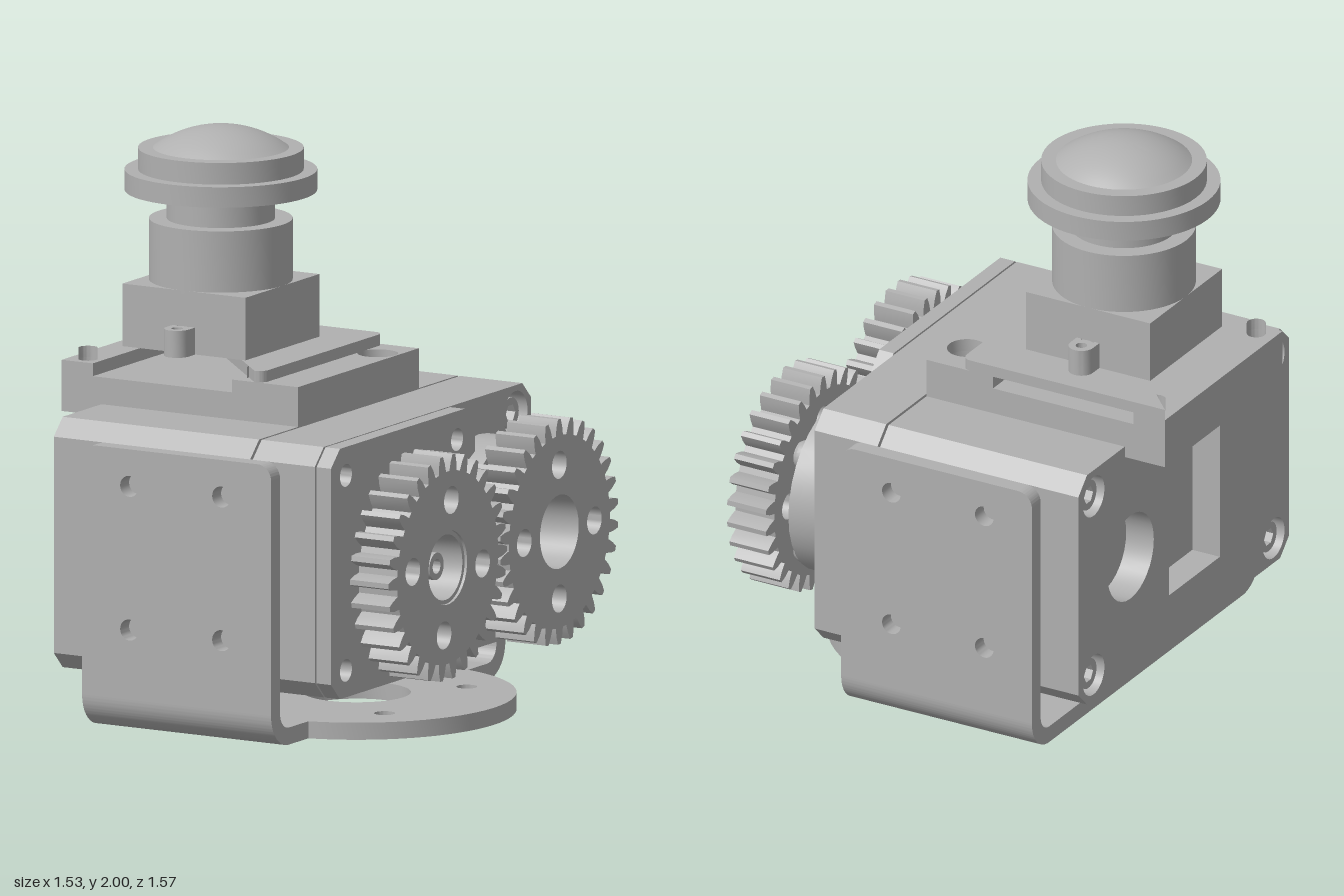
import * as THREE from 'three';
import { toCreasedNormals } from 'three/addons/utils/BufferGeometryUtils.js';

const grey = new THREE.MeshStandardMaterial({ color: 0xb0b0b0 });
grey.name = 'machinedGrey';

export function createModel() {
  const model = new THREE.Group();
  model.name = 'gearedCameraMount';

  const add = (name, geometry, parent = model) => {
    const mesh = new THREE.Mesh(toCreasedNormals(geometry, 0.5), grey);
    mesh.name = name;
    parent.add(mesh);
    return mesh;
  };
  const poly = (pts) => new THREE.Shape(pts.map(([a, b]) => new THREE.Vector2(a, b)));
  const rect = (x0, y0, x1, y1) => poly([[x0, y0], [x1, y0], [x1, y1], [x0, y1]]);
  const disc = (x, y, r) => new THREE.Shape().absarc(x, y, r, 0, Math.PI * 2);
  const cut = (shape, ...holes) => { shape.holes.push(...holes); return shape; };
  const extrude = (shape, depth) =>
    new THREE.ExtrudeGeometry(shape, { depth, bevelEnabled: false, curveSegments: 16 });
  // Extrusions along each axis: X uses (-z, y), Y uses (x, -z), Z uses (x, y)
  const alongX = (name, shape, x0, x1, parent) =>
    add(name, extrude(shape, x1 - x0).rotateY(Math.PI / 2).translate(x0, 0, 0), parent);
  const alongY = (name, shape, y0, y1) =>
    add(name, extrude(shape, y1 - y0).rotateX(-Math.PI / 2).translate(0, y0, 0));
  const alongZ = (name, shape, z0, z1) =>
    add(name, extrude(shape, z1 - z0).translate(0, 0, z0));
  const ring4 = (cx, cy, radius, r, turn) => [0, 1, 2, 3].map((i) => {
    const t = turn + i * Math.PI / 2;
    return disc(cx + radius * Math.cos(t), cy + radius * Math.sin(t), r);
  });

  // Gearbox housing, sliced along x with chamfered corners
  const housing = (inset = 0) => {
    const w = 0.725 - inset, b = 0.18 + inset, t = 1.06 - inset, c = 0.06;
    return poly([[-w + c, b], [w - c, b], [w, b + c], [w, t - c],
      [w - c, t], [-w + c, t], [-w, t - c], [-w, b + c]]);
  };
  const boltYs = [0.275, 0.96];
  const rearCover = cut(housing(), disc(0.365, 0.62, 0.16), rect(-0.25, 0.36, 0.1, 0.98));
  for (const a of [-0.62, 0.62]) for (const y of boltYs) rearCover.holes.push(disc(a, y, 0.075));
  alongX('rearCover', rearCover, -0.61, -0.5);
  alongX('housingCore', housing(), -0.5, 0.18);
  alongX('housingSeam', housing(0.015), 0.18, 0.19);
  alongX('housingMiddle', cut(housing(), ...boltYs.map((y) => disc(0.62, y, 0.08))), 0.19, 0.44);
  const facePlate = poly([[-0.665, 0.18], [0.17, 0.18], [0.24, 0.26], [0.24, 0.98],
    [0.17, 1.06], [-0.665, 1.06], [-0.725, 1.0], [-0.725, 0.24]]);
  for (const a of [-0.625, 0.12]) for (const y of boltYs) facePlate.holes.push(disc(a, y, 0.04));
  alongX('facePlate', facePlate, 0.447, 0.505);
  alongX('facePlateSeam', rect(-0.71, 0.25, 0.2, 0.99), 0.44, 0.447);

  // Socket head bolts in the counterbores
  const bolt = (a, y, x0, x1) => {
    const hex = poly([0, 1, 2, 3, 4, 5].map((i) =>
      [a + 0.032 * Math.cos(i * Math.PI / 3), y + 0.032 * Math.sin(i * Math.PI / 3)]));
    alongX('socketBolt', cut(disc(a, y, 0.055), hex), x0, x1);
  };
  for (const y of boltYs) {
    bolt(-0.62, y, -0.59, -0.5);
    bolt(0.62, y, -0.59, -0.5);
    bolt(0.62, y, 0.19, 0.42);
  }

  // Spur gears
  const teeth = 30, pitch = Math.PI * 2 / teeth;
  const tooth = [[-0.34, 0.338], [-0.24, 0.37], [-0.11, 0.396], [0.11, 0.396], [0.24, 0.37], [0.34, 0.338]];
  const gear = (name, z, turn) => {
    const pts = [];
    for (let i = 0; i < teeth; i++) {
      for (const [f, r] of tooth) {
        const t = (i + 0.5 + f) * pitch;
        pts.push([r * Math.cos(t), r * Math.sin(t)]);
      }
    }
    const shape = cut(poly(pts), disc(0, 0, 0.13), ...ring4(0, 0, 0.235, 0.049, 0));
    const group = new THREE.Group();
    group.name = name;
    alongX('toothedWheel', shape, 0.61, 0.765, group);
    group.position.set(0, 0.62, z);
    group.rotation.x = turn;
    model.add(group);
  };
  gear('idlerGear', 0.376, -pitch / 2);
  gear('drivenGear', -0.372, 0);

  // Idler hub and hollow shaft
  alongX('idlerSpacer', disc(-0.376, 0.62, 0.1), 0.5, 0.585);
  alongX('idlerHub', disc(-0.376, 0.62, 0.15), 0.585, 0.63);
  alongX('idlerBushing', cut(disc(-0.376, 0.62, 0.13), disc(-0.376, 0.62, 0.115)), 0.62, 0.755);
  alongX('idlerShaft', cut(disc(-0.376, 0.62, 0.048), disc(-0.376, 0.62, 0.026)), 0.62, 0.72);

  // Output horn with domed screws
  alongX('outputHorn', cut(disc(0.372, 0.62, 0.31), disc(0.372, 0.62, 0.032),
    ...ring4(0.372, 0.62, 0.235, 0.03, 0)), 0.44, 0.57);
  for (const sy of [-1, 1]) {
    for (const sz of [-1, 1]) {
      const head = new THREE.LatheGeometry([[0.052, 0], [0.052, 0.018], [0.045, 0.031],
        [0.03, 0.039], [0, 0.039]].map(([r, y]) => new THREE.Vector2(r, y)), 24);
      head.rotateZ(-Math.PI / 2).translate(0.57, 0.62 + sy * 0.177, -0.372 + sz * 0.177);
      add('hornScrew', head);
    }
  }

  // U bracket: round-ended base, bends and drilled side walls
  const base = new THREE.Shape();
  base.moveTo(-0.46, -0.665);
  base.lineTo(0.3, -0.665);
  base.absarc(0.175, 0, 0.55, -1.341, 1.341, false);
  base.lineTo(0.3, 0.665);
  base.lineTo(-0.46, 0.665);
  base.closePath();
  cut(base, disc(0.175, 0, 0.186), ...ring4(0.175, 0, 0.39, 0.036, Math.PI / 4));
  alongY('bracketBase', base, 0, 0.06);
  for (const s of [-1, 1]) {
    const bend = new THREE.Shape();
    const a0 = s > 0 ? -Math.PI / 2 : Math.PI;
    bend.absarc(s * 0.665, 0.12, 0.12, a0, a0 + Math.PI / 2, false);
    bend.absarc(s * 0.665, 0.12, 0.06, a0 + Math.PI / 2, a0, true);
    bend.closePath();
    alongX('bracketBend', bend, -0.46, 0.3);

    const wall = new THREE.Shape();
    wall.moveTo(-0.46, 0.12);
    wall.lineTo(0.3, 0.12);
    wall.absarc(0.245, 0.945, 0.055, 0, Math.PI / 2, false);
    wall.absarc(-0.405, 0.945, 0.055, Math.PI / 2, Math.PI, false);
    wall.closePath();
    for (const x of [-0.27, 0.1]) for (const y of [0.365, 0.87]) wall.holes.push(disc(x, y, 0.037));
    alongZ('bracketWall', wall, s > 0 ? 0.725 : -0.785, s > 0 ? 0.785 : -0.725);
  }

  // Camera mount: slab, slot ends, hanging lip and circuit board
  const corner = (x) => [disc(x, 0.345, 0.033), disc(x, -0.345, 0.033)];
  const counterbore = () => disc(0.105, 0.255, 0.07);
  alongY('mountSlab', cut(rect(-0.77, -0.405, 0.18, 0.405), ...corner(-0.7), counterbore()), 1.06, 1.155);
  alongY('mountInnerEnd', cut(rect(-0.085, -0.405, 0.18, 0.405), counterbore()), 1.155, 1.2);
  alongY('mountOuterEnd', cut(rect(-0.77, -0.405, -0.645, 0.405), ...corner(-0.7)), 1.155, 1.2);
  alongY('mountLip', cut(rect(-0.77, -0.405, -0.61, 0.405), ...corner(-0.7)), 1.02, 1.06);
  alongY('mountScrew', cut(disc(0.105, 0.255, 0.042), disc(0.105, 0.255, 0.028)), 1.06, 1.12);
  const board = new THREE.Shape();
  board.moveTo(-0.77, -0.405);
  board.absarc(0.005, -0.37, 0.035, -Math.PI / 2, 0, false);
  board.absarc(0.005, 0.37, 0.035, 0, Math.PI / 2, false);
  board.lineTo(-0.77, 0.405);
  board.closePath();
  alongY('cameraBoard', cut(board, ...corner(-0.7), ...corner(-0.022)), 1.2, 1.24);

  // Lens holder with two screw lugs
  const cx = -0.364, cz = 0.015;
  add('lensHolder', new THREE.BoxGeometry(0.495, 0.22, 0.495).translate(cx, 1.35, cz));
  for (const s of [-1, 1]) {
    const z = cz + s * 0.293;
    alongY('holderLug', cut(disc(cx, -z, 0.045), disc(cx, -z, 0.02)), 1.24, 1.335);
    for (const k of [-1, 1]) {
      add('lugWeb', new THREE.BoxGeometry(0.02, 0.095, 0.05).translate(cx + k * 0.035, 1.2875, cz + s * 0.27));
    }
  }

  // Lens barrel, flange and domed glass
  const steps = [[0, 1.45], [0.248, 1.45], [0.248, 1.675], [0.187, 1.675], [0.187, 1.775],
    [0.333, 1.775], [0.333, 1.847], [0.286, 1.847], [0.286, 1.923], [0.235, 1.923]];
  const lathe = (pts) => new THREE.LatheGeometry(pts.map(([r, y]) => new THREE.Vector2(r, y)), 56)
    .translate(cx, 0, cz);
  add('lensBarrel', lathe(steps));
  const R = 0.397, sweep = Math.asin(0.235 / R), dome = [];
  for (let i = 0; i <= 10; i++) {
    const t = sweep * (1 - i / 10);
    dome.push([R * Math.sin(t), 2 - R + R * Math.cos(t)]);
  }
  add('lensGlass', lathe(dome));

  return model;
}
